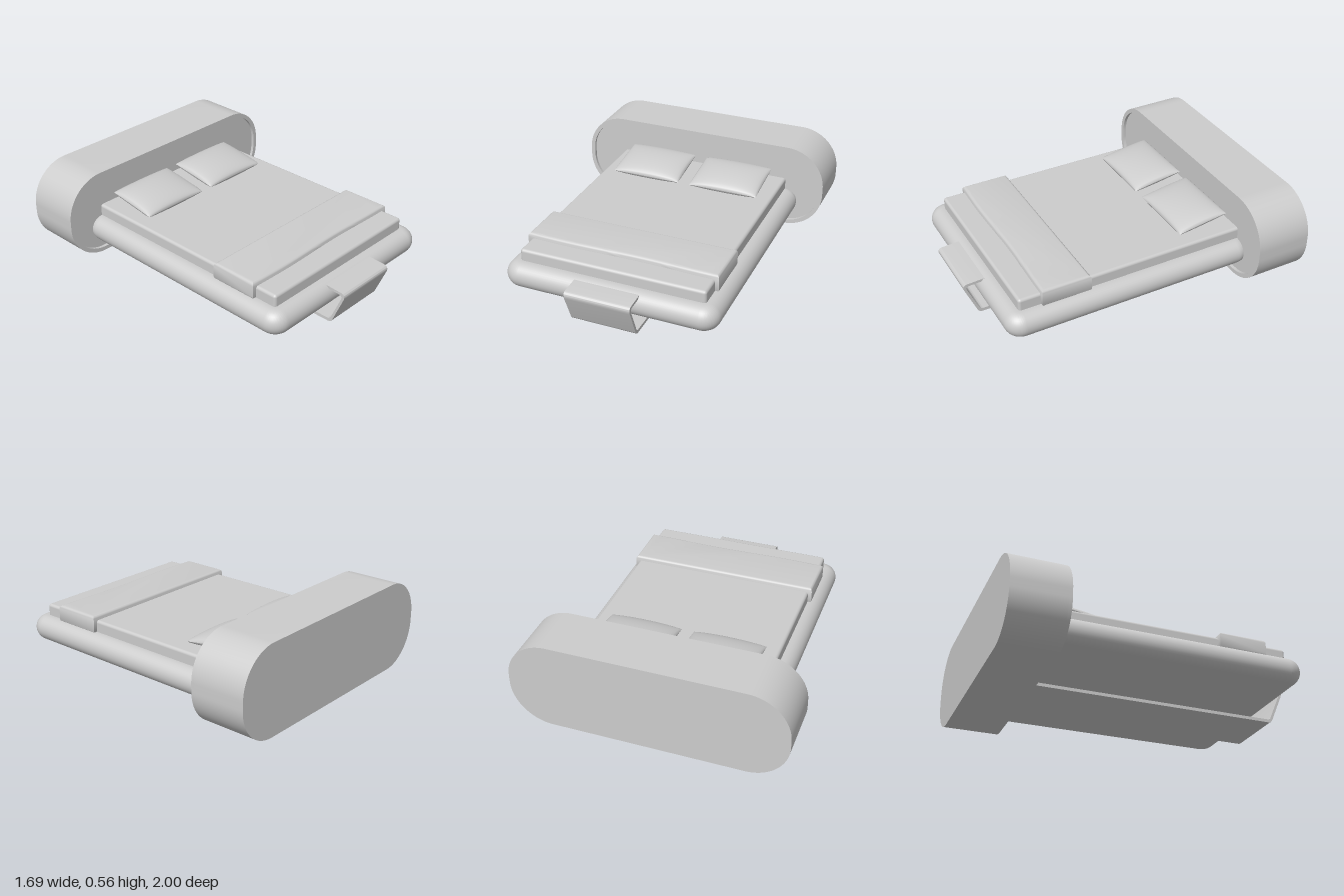
import * as THREE from 'three';
import { toCreasedNormals, mergeGeometries } from 'three/addons/utils/BufferGeometryUtils.js';
import { RoundedBoxGeometry } from 'three/addons/geometries/RoundedBoxGeometry.js';

// Rounded rectangle centred on (0, cy)
function roundRect(w, h, r, cy = 0, Type = THREE.Shape) {
  const s = new Type(), x = w / 2, y = h / 2;
  s.moveTo(-x + r, cy - y);
  s.lineTo(x - r, cy - y);
  s.absarc(x - r, cy - y + r, r, -Math.PI / 2, 0);
  s.lineTo(x, cy + y - r);
  s.absarc(x - r, cy + y - r, r, 0, Math.PI / 2);
  s.lineTo(-x + r, cy + y);
  s.absarc(-x + r, cy + y - r, r, Math.PI / 2, Math.PI);
  s.lineTo(-x, cy - y + r);
  s.absarc(-x + r, cy - y + r, r, Math.PI, Math.PI * 1.5);
  return s;
}

// Extrusion with smooth curves and sharp edges; bevel rounds the rims outwards
function extrude(shape, depth, bevel = 0, bevelSegments = 4) {
  const g = new THREE.ExtrudeGeometry(shape, {
    depth, curveSegments: 16, bevelEnabled: bevel > 0,
    bevelThickness: bevel, bevelSize: bevel, bevelSegments,
  });
  return toCreasedNormals(g, 0.6);
}

// Cushion with pinched rims: two domed grids meeting along the edge
function cushion(w, d, h) {
  const half = (side) => {
    const g = new THREE.PlaneGeometry(2, 2, 20, 20);
    const p = g.attributes.position;
    for (let i = 0; i < p.count; i++) {
      const u = Math.sin(p.getX(i) * Math.PI / 2), v = Math.sin(p.getY(i) * Math.PI / 2);
      const dome = Math.pow(Math.max(0, (1 - u * u) * (1 - v * v)), 0.42);
      const x = u * (1 - 0.012 * (1 - v * v)), z = v * (1 - 0.012 * (1 - u * u));
      p.setXYZ(i, x * w / 2, side * dome * h / 2, -side * z * d / 2);
    }
    g.computeVertexNormals();
    return g;
  };
  return mergeGeometries([half(1), half(-1)]);
}

export function createModel() {
  const group = new THREE.Group();
  group.name = 'bed';
  const grey = new THREE.MeshStandardMaterial({ color: 0xcccccc });
  grey.name = 'plain grey';
  const add = (name, geometry, x = 0, y = 0, z = 0) => {
    const m = new THREE.Mesh(geometry, grey);
    m.name = name;
    m.position.set(x, y, z);
    group.add(m);
    return m;
  };

  // Round-ended headboard with a shallow recess inside a thin rim
  add('headboard', extrude(roundRect(1.69, 0.56, 0.255, 0.28), 0.335), 0, 0, -1);
  const rim = roundRect(1.69, 0.56, 0.255, 0.28);
  rim.holes.push(roundRect(1.636, 0.506, 0.228, 0.28, THREE.Path));
  add('headboardRim', extrude(rim, 0.02), 0, 0, -0.665);

  // Padded frame with fully rounded sides, running into the headboard
  const frame = extrude(roundRect(1.185, 1.48, 0.025), 0.001, 0.08, 10);
  frame.rotateX(-Math.PI / 2);
  add('frame', frame, 0, 0.17, 0.085);

  // Mattress
  add('mattress', new RoundedBoxGeometry(1.17, 0.125, 1.515, 3, 0.018), 0, 0.2625, 0.0575);

  // Folded blanket, drawn in plan with a slightly wavy front edge
  const plan = new THREE.Shape();
  const hx = 0.587, n = 24;
  plan.moveTo(hx, -0.385);
  plan.lineTo(-hx, -0.385);
  for (let i = 0; i <= n; i++) {
    const x = -hx + 2 * hx * i / n;
    plan.lineTo(x, -0.651 + 0.005 * Math.cos((x - 0.12) * 7));
  }
  const blanket = extrude(plan, 0.07, 0.022);
  blanket.rotateX(-Math.PI / 2);
  add('blanket', blanket, 0, 0.262, 0);

  // Two pillows leaning back towards the headboard
  for (const x of [-0.272, 0.266]) {
    const pillow = add('pillow', cushion(0.46, 0.335, 0.1), x, 0.367, -0.466);
    pillow.rotation.x = 0.15;
  }

  // Support strip: flat under the bed, sloping up and hooking over the foot end
  const s = new THREE.Shape();
  s.moveTo(-0.66, 0);
  s.lineTo(0.89, 0);
  s.quadraticCurveTo(0.914, 0, 0.924, 0.022);
  s.lineTo(0.995, 0.19);
  s.quadraticCurveTo(1.012, 0.232, 0.97, 0.234);
  s.lineTo(0.865, 0.24);
  s.lineTo(0.88, 0.222);
  s.lineTo(0.962, 0.218);
  s.quadraticCurveTo(0.988, 0.216, 0.977, 0.188);
  s.lineTo(0.912, 0.036);
  s.quadraticCurveTo(0.906, 0.02, 0.886, 0.02);
  s.lineTo(-0.66, 0.02);
  const strip = extrude(s, 0.41);
  strip.rotateY(-Math.PI / 2);
  add('supportStrip', strip, 0.205, 0, 0);

  return group;
}
